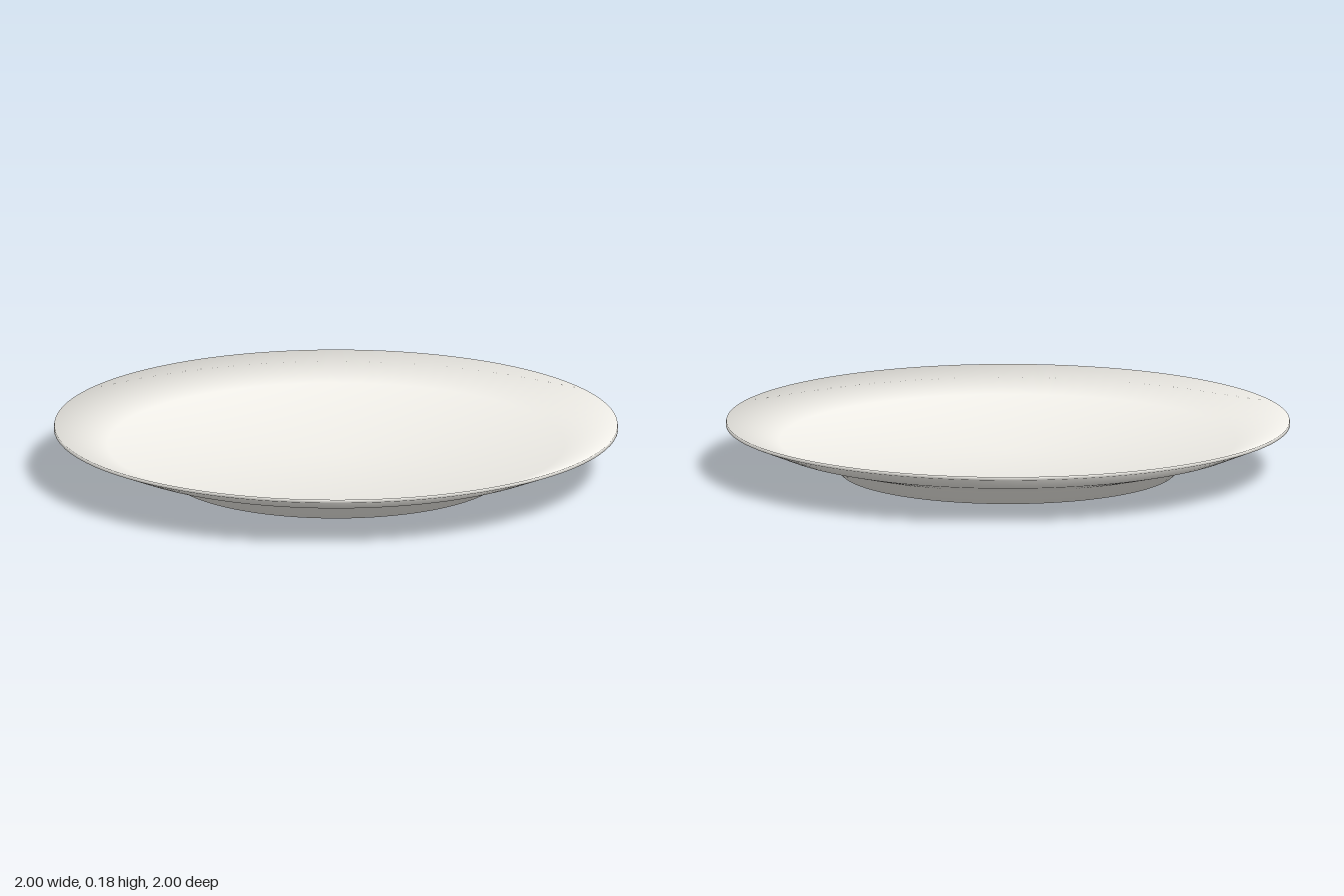
import * as THREE from 'three';

export function createModel() {
  const group = new THREE.Group();
  const material = new THREE.MeshStandardMaterial({ color: 0xf2f0ea });

  // Closed profile: underside, foot, outer wall, lip, inner slope, dished well
  const profile = [
    [0, 0], [0.595, 0],
    [0.63, 0.05], [0.86, 0.11],
    [1, 0.168], [0.998, 0.18],
    [0.81, 0.11], [0, 0.07],
  ].map(([r, y]) => new THREE.Vector2(r, y));
  const geometry = new THREE.LatheGeometry(profile, 96);

  // Soft glaze shading: each ring takes the even average of its two slopes
  const slopes = profile.slice(1).map((p, i) => {
    const d = p.clone().sub(profile[i]).normalize();
    return new THREE.Vector2(d.y, -d.x);
  });
  const ringNormals = profile.map((p, i) => {
    if (p.x === 0) return new THREE.Vector2(0, i === 0 ? -1 : 1);
    return slopes[i - 1].clone().add(slopes[i]).normalize();
  });
  const normals = geometry.attributes.normal;
  for (let i = 0; i < normals.count; i++) {
    const n = ringNormals[i % profile.length];
    const angle = Math.floor(i / profile.length) / 96 * Math.PI * 2;
    normals.setXYZ(i, n.x * Math.sin(angle), n.y, n.x * Math.cos(angle));
  }

  const plate = new THREE.Mesh(geometry, material);
  plate.name = 'plate';
  group.add(plate);
  return group;
}
